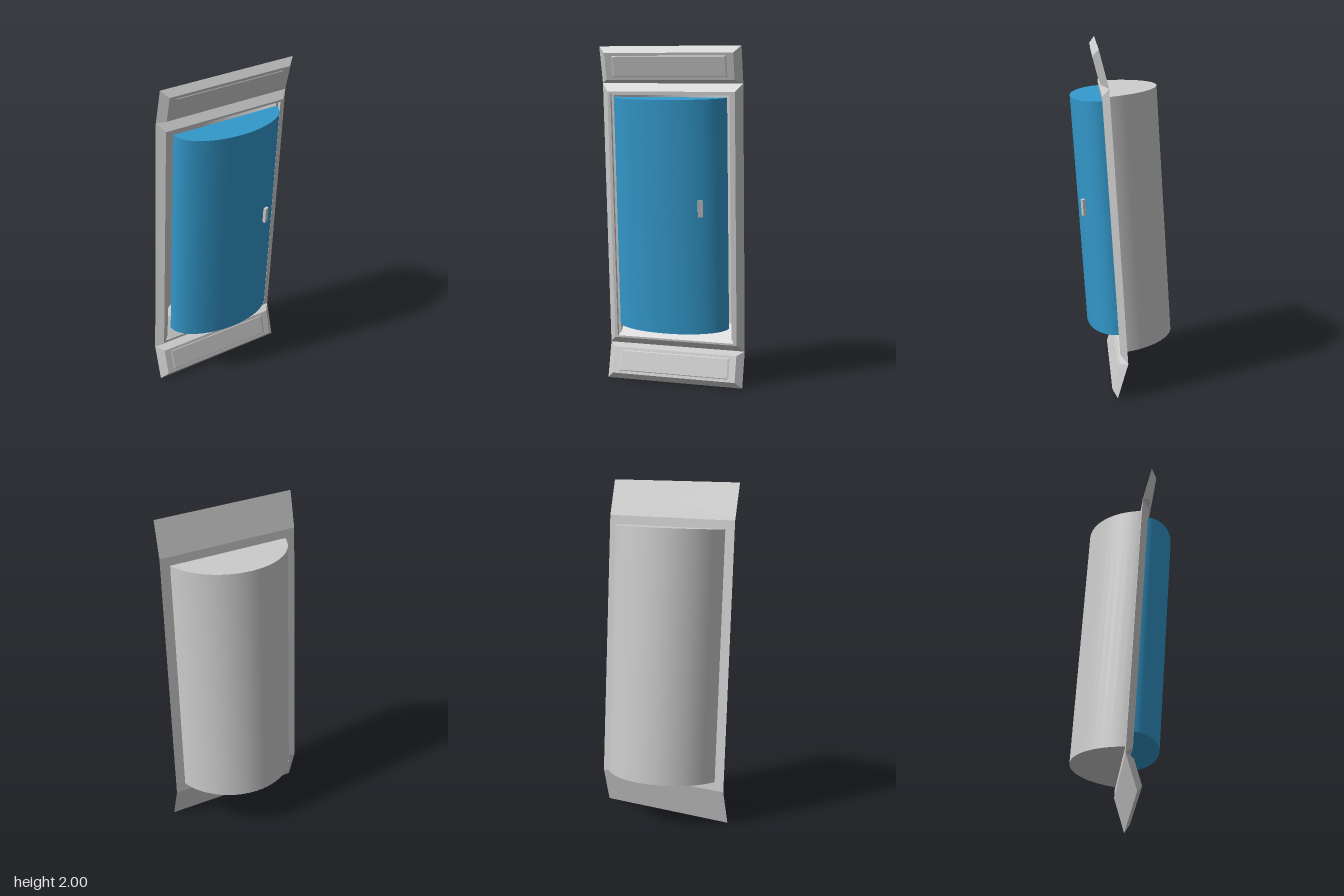
import * as THREE from 'three';
import { toCreasedNormals } from 'three/addons/utils/BufferGeometryUtils.js';

const grey = new THREE.MeshStandardMaterial({ color: 0xcccccc });
const greyThin = new THREE.MeshStandardMaterial({ color: 0xcccccc, side: THREE.DoubleSide });
const blue = new THREE.MeshStandardMaterial({ color: 0x3399cc });

function add(parent, name, geometry, material = grey) {
  const mesh = new THREE.Mesh(geometry, material);
  mesh.name = name;
  parent.add(mesh);
  return mesh;
}

// Flat-faced skin through a row of rectangles [halfWidth, halfHeight, z]
function loftRects(rects) {
  const corners = [[-1, -1], [1, -1], [1, 1], [-1, 1]];
  const at = ([w, h, z], i) => [corners[i % 4][0] * w, corners[i % 4][1] * h, z];
  const pos = [];
  for (let r = 0; r < rects.length - 1; r++) {
    for (let i = 0; i < 4; i++) {
      const a = at(rects[r], i), b = at(rects[r], i + 1);
      const c = at(rects[r + 1], i + 1), d = at(rects[r + 1], i);
      pos.push(...a, ...b, ...c, ...a, ...c, ...d);
    }
  }
  const g = new THREE.BufferGeometry();
  g.setAttribute('position', new THREE.Float32BufferAttribute(pos, 3));
  g.computeVertexNormals();
  return g;
}

// Bevelled slab with a thin raised inset, tilted about x
function slab(name, y, z, tilt) {
  const g = new THREE.Group();
  g.name = name;
  g.position.set(0, y, z);
  g.rotation.x = tilt;
  add(g, name + 'Body', loftRects([[0, 0, 0], [0.42, 0.109, 0], [0.38, 0.079, 0.04], [0, 0, 0.04]]));
  add(g, name + 'Inset', loftRects([[0.34, 0.062, 0.04], [0.33, 0.058, 0.043], [0, 0, 0.043]]));
  return g;
}

export function createModel() {
  const model = new THREE.Group();
  model.name = 'capsuleDoor';

  // Leaning middle section
  const body = new THREE.Group();
  body.name = 'body';
  body.position.set(0, 1, 0.0175);
  body.rotation.x = 0.066;
  model.add(body);

  // Bevelled frame and its recessed trim
  add(body, 'frame', loftRects([[0.36, 0.74, 0], [0.42, 0.792, 0], [0.38, 0.747, 0.04],
    [0.362, 0.735, 0.04], [0.36, 0.74, 0]]));
  add(body, 'trim', loftRects([[0.345, 0.725, 0.003], [0.361, 0.738, 0.003],
    [0.361, 0.736, 0.022], [0.345, 0.725, 0.022], [0.345, 0.725, 0.003]]));

  // Rounded rear shell with end caps
  const R = 0.37, cut = 0.229, H = 1.48;
  const shell = add(body, 'rearShell',
    new THREE.CylinderGeometry(R, R, H, 22, 1, true, Math.PI / 2 + cut, Math.PI - 2 * cut), greyThin);
  shell.position.z = 0.084;
  const capShape = new THREE.Shape().absarc(0, 0, R, cut, Math.PI - cut, false);
  for (const s of [-1, 1]) {
    const cap = add(body, s > 0 ? 'shellTop' : 'shellBottom',
      new THREE.ShapeGeometry(capShape, 22).rotateX(-Math.PI / 2), greyThin);
    cap.position.set(0, s * H / 2, 0.084);
  }

  // Sloping sill, narrower at the back
  const sillGeo = new THREE.PlaneGeometry(0.71, 0.135);
  const p = sillGeo.attributes.position;
  for (let i = 0; i < p.count; i++) if (p.getY(i) > 0) p.setX(i, Math.sign(p.getX(i)) * 0.33);
  const sill = add(body, 'sill', sillGeo, greyThin);
  sill.position.set(0, -0.69, -0.01);
  sill.rotation.x = -0.838;

  // Bowed door, half an ellipse in section
  const doorShape = new THREE.Shape().absellipse(0, 0, 0.335, 0.175, Math.PI, 2 * Math.PI, false, 0);
  const doorGeo = new THREE.ExtrudeGeometry(doorShape, { depth: 1.358, bevelEnabled: false, curveSegments: 16 });
  const door = add(body, 'door', toCreasedNormals(doorGeo.rotateX(-Math.PI / 2), 0.6), blue);
  door.position.set(0, -0.642, 0.04);

  // Handle
  const handle = add(body, 'handle', new THREE.BoxGeometry(0.028, 0.095, 0.025));
  handle.position.set(0.208, 0.1, 0.182);
  handle.rotation.y = 0.4;

  // Tilted header and base
  model.add(slab('header', 1.895, 0.0975, 0.256));
  model.add(slab('base', 0.105, -0.005, -0.278));
  return model;
}
